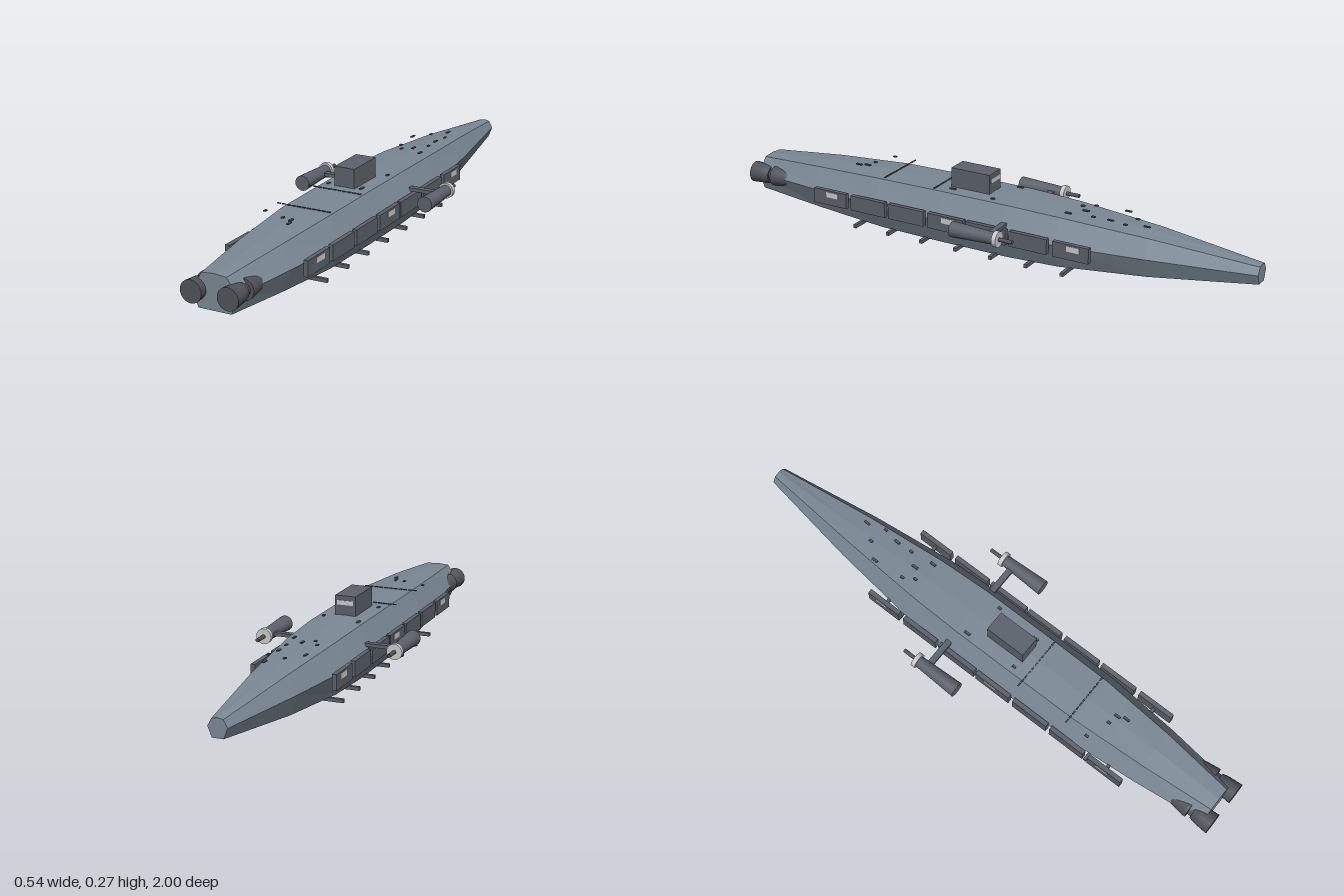
import * as THREE from 'three';

const mat = (color, side = THREE.FrontSide) =>
  new THREE.MeshStandardMaterial({ color, flatShading: true, side });
const hullMat = mat(0x7b8995);
const darkMat = mat(0x5c626c);
const engineMat = mat(0x50535a);
const lightMat = mat(0xc8c8c8);

function add(parent, name, geometry, material, x = 0, y = 0, z = 0) {
  const mesh = new THREE.Mesh(geometry, material);
  mesh.name = name;
  mesh.position.set(x, y, z);
  parent.add(mesh);
  return mesh;
}

const box = (w, h, d) => new THREE.BoxGeometry(w, h, d);

// Solid of revolution along z from [radius, z] pairs, listed from back to front
function turned(profile, sides = 24) {
  const pts = profile.map(([r, z]) => new THREE.Vector2(r, z));
  return new THREE.LatheGeometry(pts, sides).rotateX(Math.PI / 2);
}

// Faceted hull lofted through stations: z, bottom, top, bottom/side/top half widths
function hullGeometry() {
  const stations = [
    [-1.0, 0.078, 0.142, 0.02, 0.034, 0.02],
    [-0.62, 0.037, 0.175, 0.065, 0.094, 0.06],
    [-0.3, 0.012, 0.193, 0.09, 0.132, 0.085],
    [-0.1, 0.007, 0.199, 0.096, 0.14, 0.092],
    [0.15, 0.007, 0.199, 0.096, 0.14, 0.092],
    [0.42, 0.01, 0.196, 0.094, 0.138, 0.09],
    [0.7, 0.026, 0.183, 0.08, 0.115, 0.072],
    [0.97, 0.043, 0.164, 0.06, 0.082, 0.045],
  ];
  const ring = ([z, b, t, wb, ws, wt]) => {
    const m = (b + t) / 2 + 0.004;
    return [[wb, b, z], [ws, m, z], [wt, t - 0.002, z], [0, t + 0.002, z],
      [-wt, t - 0.002, z], [-ws, m, z], [-wb, b, z]];
  };
  const rings = stations.map(ring);
  const n = rings[0].length;
  const pos = [];
  const tri = (a, b, c) => pos.push(...a, ...b, ...c);
  for (let i = 0; i < rings.length - 1; i++) {
    for (let j = 0; j < n; j++) {
      const k = (j + 1) % n;
      const [a, b, c, d] = [rings[i][j], rings[i][k], rings[i + 1][k], rings[i + 1][j]];
      tri(a, b, c);
      tri(a, c, d);
    }
  }
  const back = rings[0];
  const front = rings[rings.length - 1];
  for (let j = 1; j < n - 1; j++) {
    tri(back[0], back[j + 1], back[j]);
    tri(front[0], front[j], front[j + 1]);
  }
  const g = new THREE.BufferGeometry();
  g.setAttribute('position', new THREE.Float32BufferAttribute(pos, 3));
  g.computeVertexNormals();
  return g;
}

// Engine: pointed fairing on the hull flank and a separate bell
function buildEngine(side) {
  const g = new THREE.Group();
  g.name = side > 0 ? 'leftEngine' : 'rightEngine';
  const fairing = turned([[0, -0.25], [0.016, -0.21], [0.03, -0.15], [0.037, -0.1], [0.037, -0.09], [0, -0.09]]);
  add(g, 'engineFairing', fairing, engineMat);
  add(g, 'engineNeck', turned([[0.024, -0.1], [0.024, -0.06]], 16), engineMat);
  add(g, 'engineBell', turned([[0, -0.075], [0.03, -0.075], [0.035, -0.05], [0.039, 0], [0, 0]]), engineMat);
  g.position.set(side * 0.067, 0.105, 1);
  return g;
}

// Outrigger pod: arm, tapered body, pale collar and rear spindle
function buildPod(side) {
  const g = new THREE.Group();
  g.name = side > 0 ? 'leftPod' : 'rightPod';
  add(g, 'podArm', box(0.13, 0.013, 0.022), darkMat, side * 0.18, 0.138, -0.105);
  const x = side * 0.243;
  add(g, 'podBody', turned([[0, -0.14], [0.021, -0.14], [0.028, 0.028], [0, 0.028]]), darkMat, x, 0.138);
  add(g, 'podCollar', turned([[0, -0.156], [0.028, -0.156], [0.028, -0.14], [0, -0.14]]), lightMat, x, 0.138);
  add(g, 'podSpindle', turned([[0, -0.207], [0.007, -0.207], [0.007, -0.15]], 12), engineMat, x, 0.138);
  return g;
}

// Row of side panels, some carrying a pale window
function buildPanels(side) {
  const g = new THREE.Group();
  g.name = side > 0 ? 'leftPanels' : 'rightPanels';
  const spans = [[0.53, 0.67], [0.365, 0.51], [0.203, 0.35], [0.04, 0.185],
    [-0.128, 0.03], [-0.288, -0.142], [-0.447, -0.31]];
  spans.forEach(([a, b], i) => {
    const z = (a + b) / 2;
    add(g, 'sidePanel', box(0.017, 0.056, b - a), darkMat, side * 0.146, 0.105, z);
    add(g, 'panelBracket', box(0.05, 0.012, 0.012), darkMat, side * 0.12, 0.105, z);
    if (i % 3 === 0) add(g, 'panelWindow', box(0.003, 0.02, 0.05), lightMat, side * 0.1545, 0.117, z - 0.01);
  });
  return g;
}

// Small deck fittings and two dashed seams across the deck
function buildDeck() {
  const g = new THREE.Group();
  g.name = 'deckFittings';
  const spots = [[-0.015, -0.545], [0.03, -0.6], [0.05, -0.53], [-0.063, -0.487], [-0.053, -0.37],
    [0.005, -0.36], [0.042, -0.407], [0.053, -0.317], [-0.03, -0.33], [-0.074, -0.06], [-0.069, 0.143],
    [0.058, 0.138], [0.069, -0.03], [0.01, 0.53], [-0.026, 0.52], [0.021, 0.56], [-0.111, 0.49], [0.04, -0.47]];
  spots.forEach(([x, z], i) =>
    add(g, 'deckFitting', box(0.009, 0.004, i % 2 ? 0.024 : 0.014), engineMat, x, 0.201, z));
  for (const z of [0.197, 0.405]) {
    for (let i = 0; i < 11; i++) add(g, 'deckSeam', box(0.014, 0.003, 0.005), engineMat, -0.11 + i * 0.019, 0.201, z);
  }
  return g;
}

export function createModel() {
  const model = new THREE.Group();
  model.name = 'vessel';
  add(model, 'hull', hullGeometry(), hullMat);
  add(model, 'tower', box(0.077, 0.085, 0.155), darkMat, 0, 0.2275, 0.078);
  add(model, 'towerWindow', box(0.06, 0.016, 0.003), lightMat, 0, 0.245, 0);
  for (const side of [1, -1]) {
    model.add(buildEngine(side), buildPod(side), buildPanels(side));
  }
  // Cross rails below the keel
  for (let i = 0; i < 7; i++) {
    add(model, 'keelRail', box(0.268, 0.013, 0.012), darkMat, 0, 0.0065, 0.51 - i * 0.141);
  }
  model.add(buildDeck());
  return model;
}
